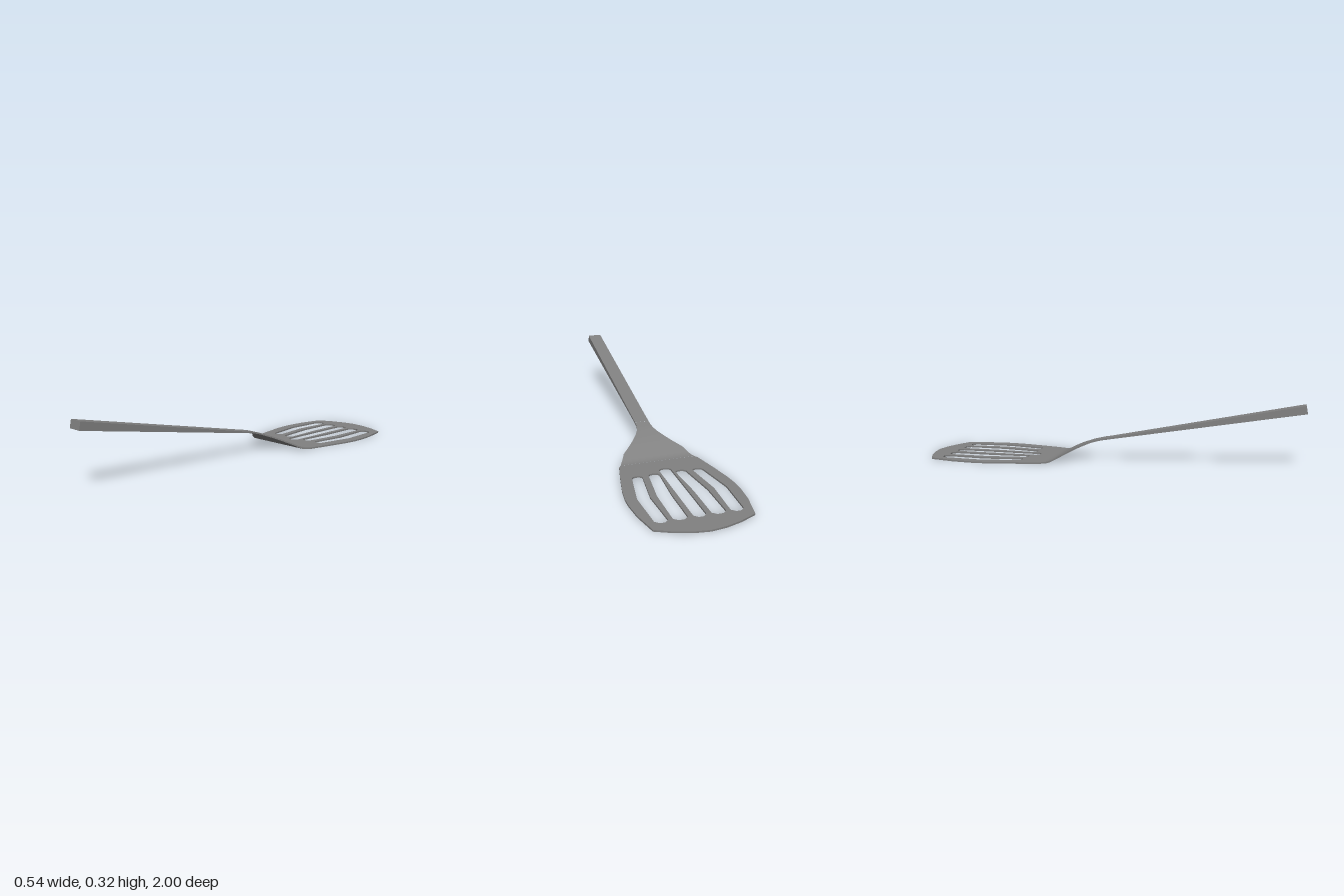
import * as THREE from 'three';

const steel = new THREE.MeshStandardMaterial({ color: 0x808080 });
steel.name = 'grey';

// Lofts rectangular sections [zTop, zBottom, halfWidth, yBottom, yTop], ordered front to back.
// Each of the four sides is its own strip, so the edges stay sharp and the bend is smooth.
function loft(sections) {
  const rings = sections.map(([zt, zb, w, b, t]) => [[w, t, zt], [-w, t, zt], [-w, b, zb], [w, b, zb]]);
  const pos = [], index = [];
  for (let s = 0; s < 4; s++) {
    const base = pos.length / 3;
    rings.forEach((r) => pos.push(...r[s], ...r[(s + 1) % 4]));
    for (let j = 0; j < rings.length - 1; j++) {
      const a = base + j * 2;
      index.push(a, a + 2, a + 1, a + 1, a + 2, a + 3);
    }
  }
  // front end cap
  const c = pos.length / 3;
  rings[0].forEach((p) => pos.push(...p));
  index.push(c, c + 1, c + 2, c, c + 2, c + 3);
  const g = new THREE.BufferGeometry();
  g.setAttribute('position', new THREE.Float32BufferAttribute(pos, 3));
  g.setIndex(index);
  g.computeVertexNormals();
  return g;
}

// Slot with pointed ends; its centre line is bent through three x positions.
function slot(xTop, xMid, xBottom, start, end, hw, hwBottom) {
  const pts = [
    [xBottom, start], [xBottom + hwBottom * 0.6, start + 0.003], [xBottom + hwBottom, start + 0.015],
    [xMid + hw, 0.66], [xTop + hw, end - 0.021], [xTop + hw * 0.4, end - 0.003],
    [xTop - hw * 0.4, end - 0.003], [xTop - hw, end - 0.021], [xMid - hw, 0.66],
    [xBottom - hwBottom, start + 0.015], [xBottom - hwBottom * 0.6, start + 0.003],
  ];
  return new THREE.Path(pts.map(([x, y]) => new THREE.Vector2(x, y)));
}

function blade() {
  // half outline: [x, distance toward the back]
  const half = [
    [0.195, 0.31], [0.206, 0.33], [0.234, 0.45], [0.259, 0.57], [0.268, 0.65], [0.268, 0.7],
    [0.259, 0.8], [0.23, 0.93], [0.15, 0.967], [0.075, 0.99],
  ];
  const outline = [...half, [0, 1], ...half.slice().reverse().map(([x, y]) => [-x, y])];
  const shape = new THREE.Shape(outline.map(([x, y]) => new THREE.Vector2(x, y)));
  shape.holes.push(slot(0, 0, 0, 0.397, 0.89, 0.03, 0.03));
  for (const s of [-1, 1]) {
    shape.holes.push(slot(s * 0.088, s * 0.088, s * 0.068, 0.437, 0.89, 0.034, 0.027));
    shape.holes.push(slot(s * 0.174, s * 0.185, s * 0.153, 0.442, 0.89, 0.031, 0.026));
  }
  const g = new THREE.ExtrudeGeometry(shape, { depth: 0.008, bevelEnabled: false });
  return g.rotateX(-Math.PI / 2);
}

export function createModel() {
  const group = new THREE.Group();
  group.name = 'slottedTurner';

  const add = (name, geometry) => {
    const m = new THREE.Mesh(geometry, steel);
    m.name = name;
    group.add(m);
  };

  // tapered handle, thickest at the grip end
  add('handle', loft([
    [0.992, 1, 0.038, 0.282, 0.322],
    [0, 0, 0.037, 0.113, 0.122],
    [-0.04, -0.04, 0.037, 0.106, 0.115],
  ]));

  // neck flares outward and bends down to the blade
  add('neck', loft([
    [-0.04, 0.037, 0.106], [-0.07, 0.038, 0.099], [-0.1, 0.044, 0.091], [-0.13, 0.06, 0.079],
    [-0.165, 0.085, 0.065], [-0.2, 0.116, 0.048], [-0.24, 0.157, 0.027], [-0.27, 0.172, 0.011],
    [-0.285, 0.181, 0.004], [-0.3, 0.189, 0.0005], [-0.31, 0.195, 0],
  ].map(([z, w, y]) => [z, z, w, y, y + 0.0085])));

  add('slottedBlade', blade());
  return group;
}
